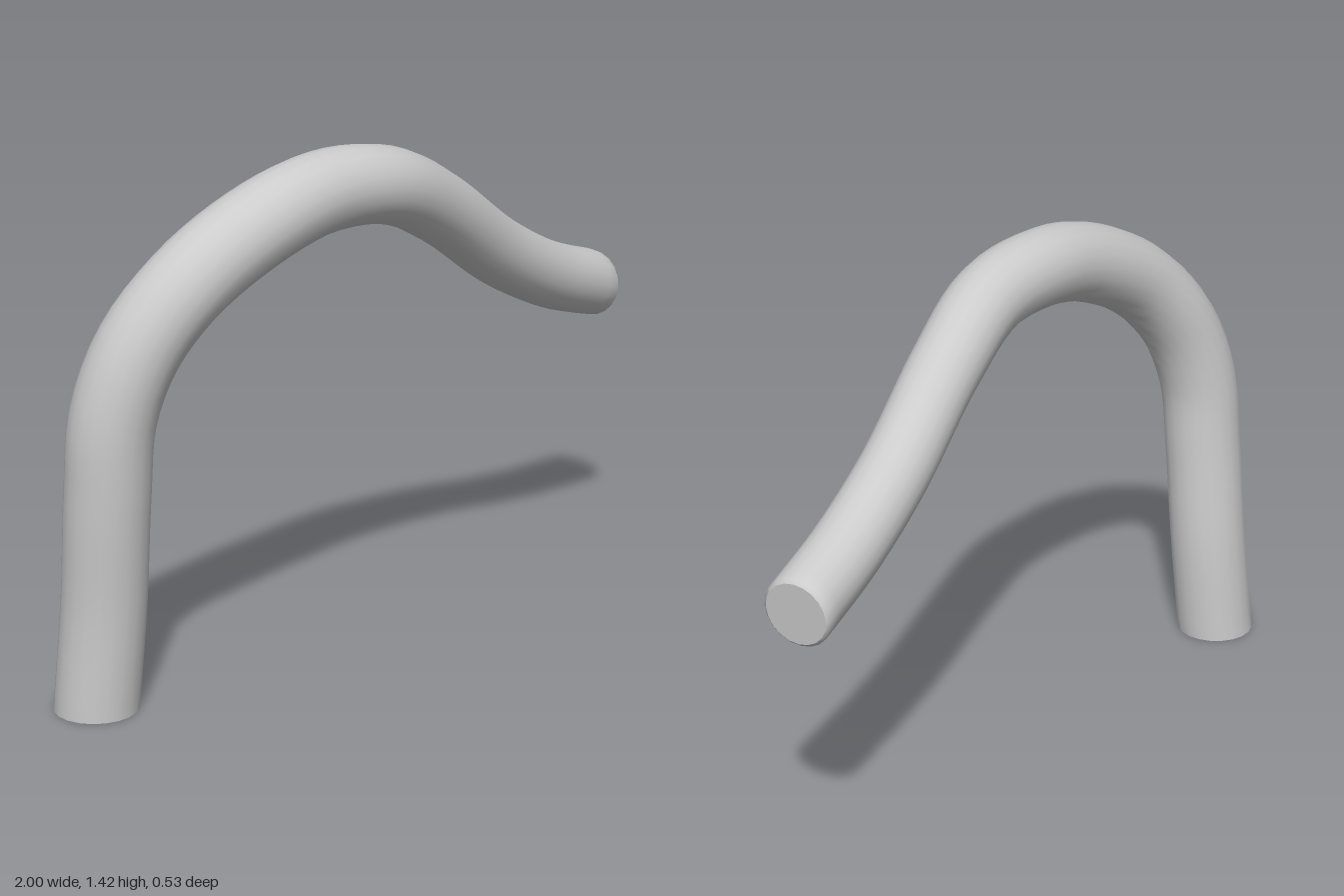
import * as THREE from 'three';

const SIDES = 20, STEPS = 64;

// Centre line of the pipe, from the foot to the free end
const path = new THREE.CatmullRomCurve3([
  [-0.887, 0.003, -0.155], [-0.876, 0.3, -0.13], [-0.884, 0.6, -0.102], [-0.878, 0.82, -0.08],
  [-0.82, 1.0, -0.035], [-0.69, 1.155, 0.03], [-0.46, 1.275, 0.092], [-0.25, 1.315, 0.125],
  [-0.04, 1.293, 0.158], [0.2, 1.183, 0.155], [0.5, 0.998, 0.143], [0.75, 0.88, 0.141], [0.985, 0.805, 0.141],
].map(p => new THREE.Vector3(...p)));

const radiusAt = u => THREE.MathUtils.lerp(0.113, 0.097, THREE.MathUtils.smoothstep(u, 0.45, 0.8));

// One cross-section, square to the direction t
function ring(centre, t, r) {
  const a = new THREE.Vector3(0, 0, 1).addScaledVector(t, -t.z).normalize();
  const b = new THREE.Vector3().crossVectors(t, a);
  return Array.from({ length: SIDES }, (_, j) => {
    const w = j / SIDES * Math.PI * 2;
    return centre.clone().addScaledVector(a, r * Math.cos(w)).addScaledVector(b, r * Math.sin(w));
  });
}

function build(points, index) {
  const g = new THREE.BufferGeometry().setFromPoints(points);
  g.setIndex(index);
  g.computeVertexNormals();
  return g;
}

// Flat disc closing a ring
function cap(points, centre, flip) {
  const index = [];
  for (let j = 0; j < SIDES; j++) {
    const k = (j + 1) % SIDES;
    index.push(SIDES, ...(flip ? [k, j] : [j, k]));
  }
  return build([...points, centre], index);
}

export function createModel() {
  const group = new THREE.Group();
  group.name = 'bentPipe';
  const material = new THREE.MeshStandardMaterial({ color: 0xcccccc });
  const add = (name, geometry) => {
    const mesh = new THREE.Mesh(geometry, material);
    mesh.name = name;
    group.add(mesh);
  };

  // The ends are cut level at the foot and nearly upright at the tip
  const footDir = new THREE.Vector3(0, 1, 0);
  const tipDir = new THREE.Vector3(0.995, -0.1, 0).normalize();
  const rings = [];
  for (let i = 0; i <= STEPS; i++) {
    const u = i / STEPS;
    const t = i === 0 ? footDir : i === STEPS ? tipDir : path.getTangentAt(u);
    rings.push(ring(path.getPointAt(u), t, radiusAt(u)));
  }
  // Softened lip at the tip
  const tip = path.getPointAt(1).addScaledVector(tipDir, 0.008);
  rings.push(ring(tip, tipDir, 0.088));

  const index = [];
  for (let i = 0; i < rings.length - 1; i++) {
    for (let j = 0; j < SIDES; j++) {
      const k = (j + 1) % SIDES, p = i * SIDES, q = p + SIDES;
      index.push(p + j, p + k, q + j, p + k, q + k, q + j);
    }
  }
  add('pipe', build(rings.flat(), index));
  add('footCap', cap(rings[0], path.getPointAt(0), true));
  add('tipCap', cap(rings[rings.length - 1], tip, false));
  return group;
}
